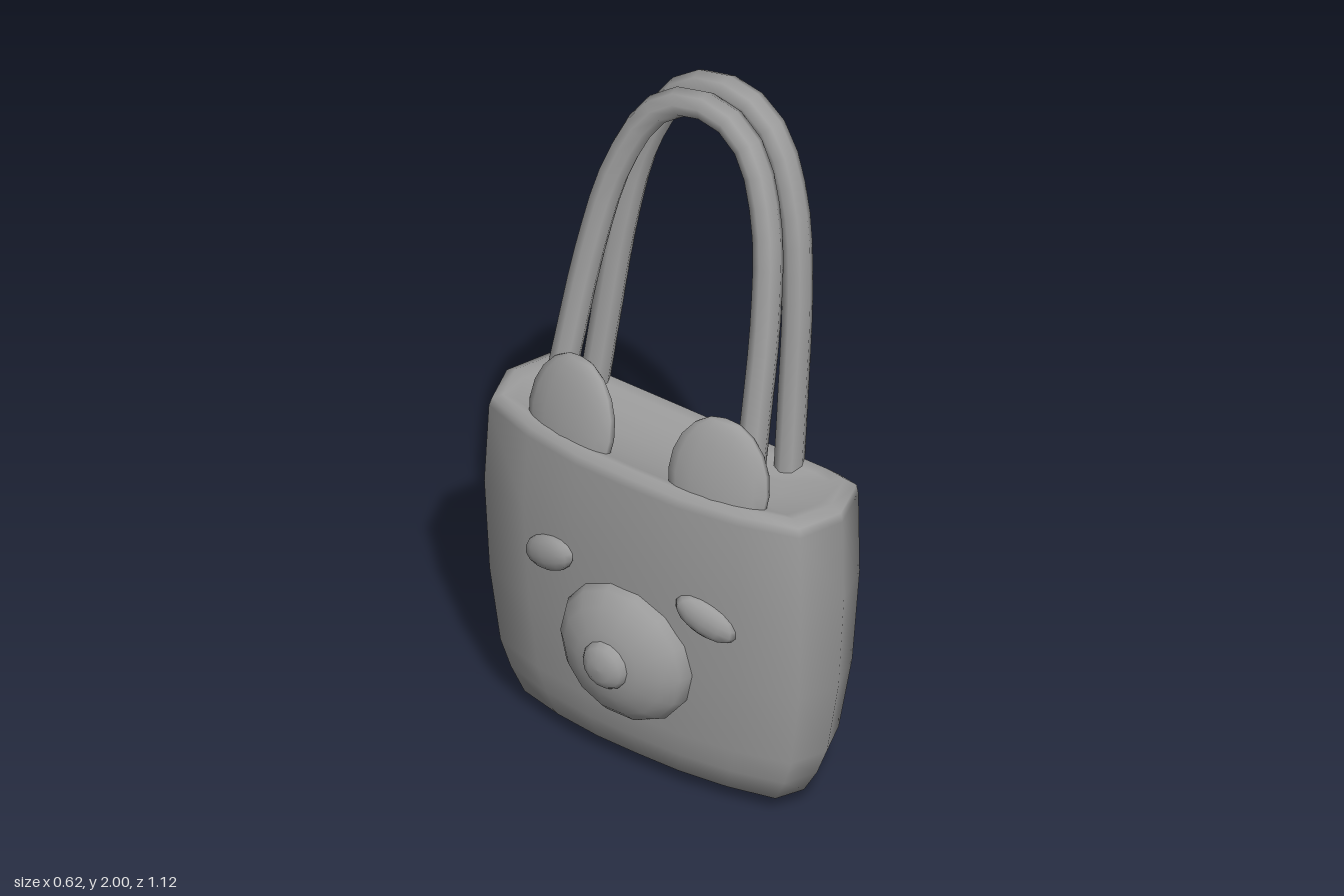
import * as THREE from 'three';

const grey = new THREE.MeshStandardMaterial({ color: 0x9c9c9c });
grey.name = 'grey';

function add(parent, geometry, name) {
  const mesh = new THREE.Mesh(geometry, grey);
  mesh.name = name;
  parent.add(mesh);
  return mesh;
}

// Plan outline of the bag: [z share of half width, x share from face (0) to back (1)]
const half = [[0, 0], [0.3, 0.01], [0.62, 0.09], [0.92, 0.24], [1, 0.6], [0.92, 0.97], [0.8, 1], [0.45, 1]];
const outline = [
  ...half, [0, 1],
  ...half.slice(1).reverse().map(([z, x]) => [-z, x]),
];

// Levels from bottom to rim and into the shallow opening: y, half width, face x, back x
const levels = [
  [0.003, 0.24, -0.03, -0.01],
  [0.05, 0.445, -0.13, 0.085],
  [0.12, 0.485, -0.15, 0.105],
  [0.2, 0.515, -0.167, 0.122],
  [0.42, 0.548, -0.182, 0.142],
  [0.7, 0.562, -0.195, 0.158],
  [0.94, 0.552, -0.187, 0.165],
  [0.965, 0.545, -0.18, 0.165],
  [0.98, 0.515, -0.16, 0.15],
  [0.972, 0.48, -0.135, 0.125],
  [0.955, 0.36, -0.08, 0.07],
];

function bagGeometry() {
  const pos = [], idx = [], n = outline.length;
  for (const [y, w, x0, x1] of levels) {
    for (const [z, x] of outline) pos.push(x0 + (x1 - x0) * x, y, z * w);
  }
  for (let l = 0; l < levels.length - 1; l++) {
    for (let i = 0; i < n; i++) {
      const a = l * n + i, b = l * n + (i + 1) % n;
      idx.push(a, b, a + n, b, b + n, a + n);
    }
  }
  // Close the underside and the opening with fans
  const bottom = pos.length / 3, top = bottom + 1, last = (levels.length - 1) * n;
  pos.push(-0.02, 0, 0, 0, 0.95, 0);
  for (let i = 0; i < n; i++) {
    const j = (i + 1) % n;
    idx.push(bottom, j, i, top, last + i, last + j);
  }
  const g = new THREE.BufferGeometry();
  g.setAttribute('position', new THREE.Float32BufferAttribute(pos, 3));
  g.setIndex(idx);
  g.computeVertexNormals();
  return g;
}

// Arched strap leaning backwards from its feet to its crown
function strapGeometry(xBase, yBase, xTop, yTop) {
  const arch = [[0.318, 0], [0.305, 0.22], [0.285, 0.5], [0.245, 0.74], [0.165, 0.92], [0.08, 0.985]];
  const all = [...arch, [0, 1], ...arch.slice().reverse().map(([z, t]) => [-z, t])];
  const points = all.map(([z, t]) => new THREE.Vector3(
    xBase + (xTop - xBase) * t, yBase + (yTop - yBase) * t, z - 0.015 * (1 - t)));
  return new THREE.TubeGeometry(new THREE.CatmullRomCurve3(points), 28, 0.041, 8);
}

// Dome of revolution that bulges out of the face along -x
function domeGeometry(profile) {
  const g = new THREE.LatheGeometry(profile.map(([r, h]) => new THREE.Vector2(r, h)), 14);
  g.rotateZ(Math.PI / 2);
  return g;
}

export function createModel() {
  const model = new THREE.Group();
  model.name = 'animalHandbag';

  add(model, bagGeometry(), 'bagBody');

  add(model, strapGeometry(-0.06, 0.955, 0.172, 1.958), 'faceSideStrap');
  add(model, strapGeometry(0.125, 0.955, 0.268, 1.958), 'backSideStrap');

  // Muzzle and nose
  const muzzle = add(model, domeGeometry(
    [[0.205, -0.04], [0.208, 0.02], [0.195, 0.045], [0.16, 0.078], [0.1, 0.104], [0.05, 0.112], [0, 0.114]]), 'muzzle');
  muzzle.position.set(-0.165, 0.413, 0);
  const nose = add(model, domeGeometry(
    [[0.068, -0.02], [0.07, 0.005], [0.06, 0.02], [0.035, 0.034], [0, 0.036]]), 'nose');
  nose.position.set(-0.273, 0.418, 0);

  // Ears and slanted eyes, one on each side of the face
  for (const s of [1, -1]) {
    const side = s > 0 ? 'left' : 'right';
    const ear = add(model, new THREE.SphereGeometry(1, 14, 10), side + 'Ear');
    ear.scale.set(0.042, 0.185, 0.15);
    ear.rotation.set(0, s * 0.14, -0.2, 'YXZ');
    ear.position.set(-0.098, 1.008, s * 0.24);

    const eye = add(model, new THREE.SphereGeometry(1, 12, 8), side + 'Eye');
    eye.scale.set(0.032, 0.052, 0.095);
    eye.rotation.set(s * 0.42, s * 0.2, 0, 'YXZ');
    eye.position.set(-0.175, 0.617, s * 0.255);
  }
  return model;
}
